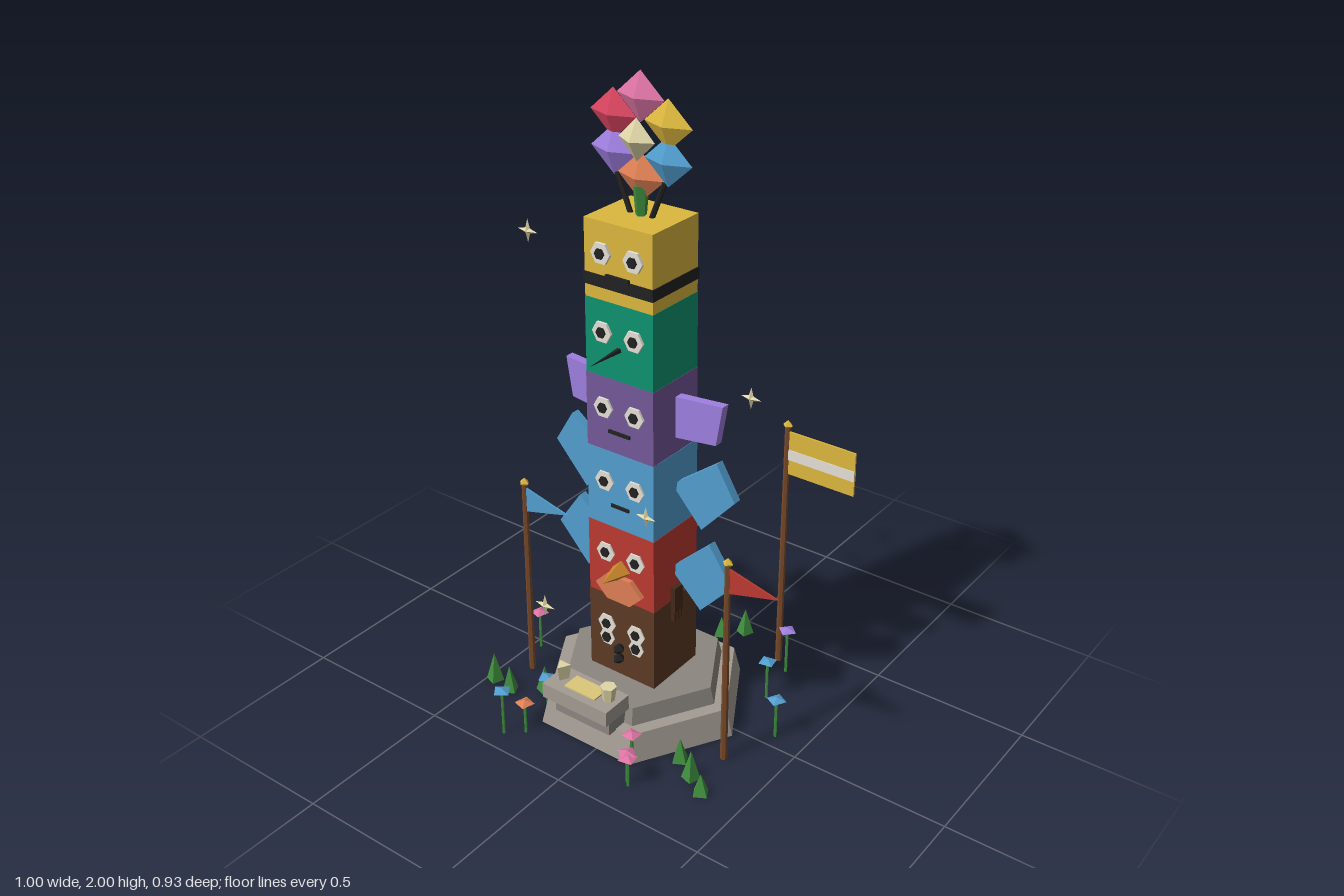
import * as THREE from 'three';

const CX = -0.042, CZ = 0.03, FRONT = 0.136;
const C = {
  gold: 0xddb83f, green: 0x0e9270, purple: 0x75599a, lilac: 0x9f7fe0, blue: 0x529fd0, red: 0xbe3a32,
  brown: 0x5c3a24, darkBrown: 0x45291a, stone: 0xa39c93, stoneTop: 0x8c8780, black: 0x222222, white: 0xe6e2d8,
  orange: 0xdf7f55, beak: 0xd08a2c, pink: 0xdd74a4, rose: 0xd9455f, cream: 0xe0d6a8, leaf: 0x3f8f3f, pole: 0x7a4a2a,
};
const mats = {};
const mat = (c) => mats[c] ??= new THREE.MeshStandardMaterial({ color: c, flatShading: true, side: THREE.DoubleSide });

export function createModel() {
  const model = new THREE.Group();

  const add = (name, geo, color, x, y, z, parent = model) => {
    const m = new THREE.Mesh(geo, mat(color));
    m.name = name;
    m.position.set(x, y, z);
    parent.add(m);
    return m;
  };
  const box = (name, w, h, d, color, x, y, z) => add(name, new THREE.BoxGeometry(w, h, d), color, x, y, z);
  const gem = (name, rx, ry, rz, color, x, y, z, parent) =>
    add(name, new THREE.OctahedronGeometry(1).scale(rx, ry, rz), color, x, y, z, parent);
  // hexagonal disc facing the front, with corners left and right
  const disc = (name, rx, ry, depth, color, x, y, z) =>
    add(name, new THREE.CylinderGeometry(1, 1, depth, 6).rotateY(Math.PI / 6).rotateX(Math.PI / 2)
      .scale(rx, ry / 0.866, 1), color, x, y, z);
  const rod = (name, a, b, r, color) => {
    const p = new THREE.Vector3(...a), q = new THREE.Vector3(...b), d = q.clone().sub(p);
    const m = add(name, new THREE.CylinderGeometry(r, r, d.length(), 6), color, ...p.clone().add(q).multiplyScalar(0.5));
    m.quaternion.setFromUnitVectors(new THREE.Vector3(0, 1, 0), d.normalize());
    return m;
  };
  const plate = (name, pts, depth, color, x, y, z, parent) => {
    const shape = new THREE.Shape(pts.map((p) => new THREE.Vector2(...p)));
    return add(name, new THREE.ExtrudeGeometry(shape, { depth, bevelEnabled: false }).translate(0, 0, -depth / 2), color, x, y, z, parent);
  };

  // Hexagonal two-step base
  const hex = (rt, rb, h) => new THREE.CylinderGeometry(rt, rb, h, 6).rotateY(Math.PI / 6);
  add('lowerBase', hex(0.315, 0.338, 0.09), C.stone, CX - 0.002, 0.045, CZ);
  add('upperBase', hex(0.256, 0.27, 0.055), C.stoneTop, CX - 0.002, 0.1175, CZ);

  // Offering altar
  box('altarFoot', 0.205, 0.065, 0.095, C.stoneTop, CX, 0.118, 0.287);
  box('altarSlab', 0.242, 0.05, 0.108, C.stone, CX, 0.174, 0.317);
  box('altarCloth', 0.115, 0.006, 0.06, 0xddc87a, CX, 0.201, 0.315);
  add('leftCup', new THREE.CylinderGeometry(0.025, 0.018, 0.05, 6), C.cream, 0.045, 0.223, 0.315);
  add('rightCup', new THREE.CylinderGeometry(0.025, 0.018, 0.05, 3), C.cream, -0.13, 0.223, 0.313);

  // Stacked carved blocks: name, bottom, top, colour, width, eye height
  [
    ['brown', 0.145, 0.42, C.brown, 0.242, 0.315], ['red', 0.42, 0.664, C.red, 0.24, 0.57],
    ['blue', 0.664, 0.913, C.blue, 0.238, 0.812], ['purple', 0.913, 1.145, C.purple, 0.236, 1.05],
    ['green', 1.145, 1.376, C.green, 0.234, 1.283], ['gold', 1.376, 1.605, C.gold, 0.232, 1.515],
  ].forEach(([name, y0, y1, color, w, eyeY]) => {
    box(name + 'Block', w, y1 - y0, w - 0.026, color, CX, (y0 + y1) / 2, CZ);
    for (const s of [-1, 1]) {
      disc(name + 'Eye', 0.033, 0.029, 0.012, C.white, CX + s * 0.055, eyeY, FRONT);
      disc(name + 'Pupil', 0.016, 0.014, 0.012, C.black, CX + s * 0.055, eyeY, FRONT + 0.006);
    }
  });

  // Brown block: cheeks, snout and side arms
  for (const s of [-1, 1]) {
    disc('cheek', 0.028, 0.026, 0.01, C.white, CX + s * 0.055, 0.265, FRONT);
    disc('cheekSpot', 0.016, 0.015, 0.012, C.black, CX + s * 0.055, 0.265, FRONT + 0.006);
    box('arm', 0.022, 0.085, 0.042, C.darkBrown, CX + s * 0.125, 0.423, CZ + 0.003);
    for (const k of [-1, 0, 1]) box('claw', 0.018, 0.035, 0.009, C.darkBrown, CX + s * 0.125, 0.365, CZ + 0.003 + k * 0.015);
  }
  for (const y of [0.25, 0.215]) gem('snout', 0.02, 0.02, 0.025, C.black, CX, y, FRONT + 0.018);

  // Red block: belly and beak
  disc('belly', 0.085, 0.043, 0.03, C.orange, CX, 0.462, FRONT + 0.003);
  add('beak', new THREE.ConeGeometry(0.034, 0.095, 4).rotateX(Math.PI / 2), C.beak, CX, 0.525, FRONT + 0.045);

  // Mouths, needle beak and headband
  box('blueMouth', 0.065, 0.01, 0.01, C.black, CX, 0.738, FRONT);
  box('purpleMouth', 0.075, 0.01, 0.01, C.black, CX, 0.98, FRONT);
  box('goldMouth', 0.08, 0.012, 0.012, C.black, CX, 1.452, FRONT);
  add('needleBeak', new THREE.ConeGeometry(0.009, 0.13, 5).rotateX(Math.PI / 2), C.black, CX, 1.24, FRONT + 0.062);
  box('headband', 0.238, 0.035, 0.214, C.black, CX, 1.432, CZ);

  // Wings, mirrored about the tower
  const wings = [
    ['purpleWing', C.lilac, [[0.1, 0.96], [0.257, 0.98], [0.278, 1.106], [0.1, 1.09]]],
    ['blueWing', C.blue, [[0.122, 0.79], [0.212, 0.69], [0.325, 0.817], [0.262, 0.923], [0.126, 0.82]]],
    ['redWing', C.blue, [[0.12, 0.5], [0.212, 0.41], [0.322, 0.53], [0.241, 0.648], [0.12, 0.535]]],
  ];
  for (const [name, color, pts] of wings) for (const s of [-1, 1])
    plate(name, pts.map(([x, y]) => [s * x, y]), 0.028, color, CX, 0, 0.017);

  // Crown of faceted blossoms
  [[-0.09, 1.87, C.rose], [0, 1.93, C.pink], [0.09, 1.87, C.gold], [-0.09, 1.77, C.lilac], [0.09, 1.77, C.blue], [0, 1.712, C.orange]]
    .forEach(([x, y, c]) => gem('crownBlossom', 0.078, 0.07, 0.03, c, CX + x, y, CZ));
  gem('crownHeart', 0.06, 0.06, 0.034, C.cream, CX, 1.818, CZ + 0.018);
  for (const s of [-1, 1]) rod('crownStem', [CX + s * 0.035, 1.6, CZ], [CX + s * 0.08, 1.71, CZ], 0.008, C.black);
  add('crownBud', new THREE.CylinderGeometry(0.024, 0.016, 0.09, 5), C.leaf, CX, 1.645, CZ);

  // Flag poles: x, z, top, flag colour, square banner?
  [
    [-0.418, 0.13, 0.705, C.blue], [0.332, 0.13, 0.705, C.red], [0.196, -0.38, 0.88, C.gold, true],
    [-0.385, -0.314, 0.605, C.gold], [-0.36, -0.162, 0.54, C.gold],
  ].forEach(([x, z, top, color, banner]) => {
    const g = new THREE.Group();
    g.name = 'flagPole';
    g.position.set(x, 0, z);
    model.add(g);
    add('pole', new THREE.CylinderGeometry(0.009, 0.011, top - 0.015, 6), C.pole, 0, (top - 0.015) / 2, 0, g);
    gem('finial', 0.017, 0.017, 0.017, C.gold, 0, top - 0.015, 0, g);
    if (banner) {
      plate('banner', [[0, -0.18], [0.238, -0.18], [0.238, -0.035], [0, -0.035]], 0.006, color, 0, top, 0, g);
      plate('bannerStripe', [[0.005, -0.13], [0.238, -0.13], [0.238, -0.095], [0.005, -0.095]], 0.01, C.white, 0, top, 0, g);
    } else plate('pennant', [[0, -0.115], [0.168, -0.07], [0, -0.03]], 0.006, color, 0, top, 0, g);
  });

  // Meadow flowers: x, z, height, colour
  [
    [-0.472, 0.025, 0.135, C.pink], [-0.25, -0.387, 0.12, C.orange], [-0.307, -0.23, 0.157, C.lilac],
    [0.25, -0.34, 0.16, C.lilac], [0.274, -0.19, 0.138, C.blue], [0.4, -0.047, 0.137, C.blue],
    [-0.226, 0.278, 0.135, C.blue], [-0.221, 0.39, 0.11, C.orange], [-0.272, 0.433, 0.157, C.blue],
    [0.125, 0.31, 0.105, C.pink], [0.166, 0.385, 0.105, C.pink], [0.178, 0.397, 0.1, C.pink],
  ].forEach(([x, z, h, color], i) => {
    add('flowerStem', new THREE.CylinderGeometry(0.005, 0.005, h, 5), C.leaf, x, h / 2, z);
    gem('flowerHead', 0.031, 0.011, 0.031, color, x, h, z).rotation.y = 0.5 + i * 0.9;
  });

  // Grass tufts
  [
    [0.023, -0.443, 0.09], [-0.033, -0.385, 0.07], [-0.474, 0.247, 0.1], [-0.4, 0.26, 0.09],
    [-0.31, 0.195, 0.09], [0.233, 0.215, 0.08], [0.305, 0.26, 0.1], [0.367, 0.298, 0.07],
  ].forEach(([x, z, h], i) => {
    add('grassTuft', new THREE.ConeGeometry(0.029, h, 4), C.leaf, x, h / 2, z).rotation.y = 0.4 + i * 0.8;
  });

  // Floating four-point sparkles
  [[-0.313, 1.545, 0.185], [-0.227, 1.305, -0.192], [0.227, 1.07, -0.124], [0.141, 0.83, 0.256], [-0.075, 0.555, 0.443]]
    .forEach(([x, y, z]) => {
      gem('sparkle', 0.035, 0.01, 0.01, C.cream, x, y, z);
      gem('sparkle', 0.01, 0.035, 0.01, C.cream, x, y, z);
    });

  return model;
}
